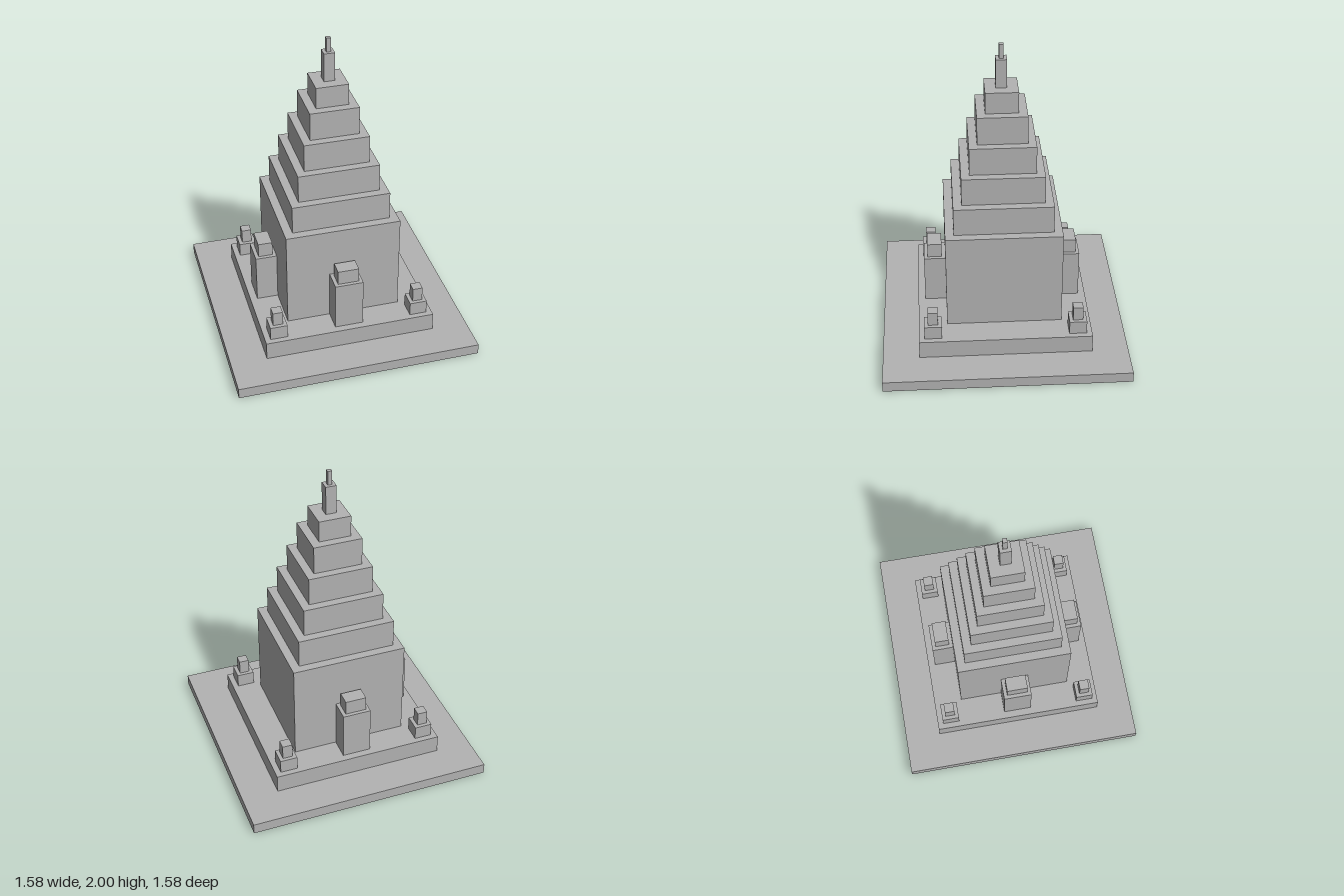
import * as THREE from 'three';

export function createModel() {
  const model = new THREE.Group();
  model.name = 'steppedTower';
  const stone = new THREE.MeshStandardMaterial({ color: 0xb3b3b3 });
  stone.name = 'grey stone';

  // Box standing between heights y0 and y1
  function block(parent, name, width, depth, y0, y1, x = 0, z = 0) {
    const mesh = new THREE.Mesh(new THREE.BoxGeometry(width, y1 - y0, depth), stone);
    mesh.name = name;
    mesh.position.set(x, (y0 + y1) / 2, z);
    parent.add(mesh);
  }

  // Square levels from the ground to the spire: name, half width, top height
  const levels = [
    ['base', 0.791, 0.07], ['plinth', 0.557, 0.19], ['towerBody', 0.372, 0.84],
    ['tier1', 0.317, 1.026], ['tier2', 0.263, 1.211], ['tier3', 0.21, 1.395],
    ['tier4', 0.158, 1.58], ['tier5', 0.104, 1.72], ['spire', 0.035, 1.908],
    ['spireTip', 0.014, 2],
  ];
  let bottom = 0;
  for (const [name, half, top] of levels) {
    block(model, name, half * 2, half * 2, bottom, top);
    bottom = top;
  }

  // Porches on the front, right and back walls
  const porches = [['frontPorch', 0], ['rightPorch', -Math.PI / 2], ['backPorch', Math.PI]];
  for (const [name, turn] of porches) {
    const porch = new THREE.Group();
    porch.name = name;
    block(porch, 'porchBody', 0.184, 0.14, 0.19, 0.513, 0, 0.441);
    block(porch, 'porchCap', 0.137, 0.093, 0.513, 0.608, 0, 0.441);
    porch.rotation.y = turn;
    model.add(porch);
  }

  // Small turrets on the plinth corners
  for (const sx of [-1, 1]) {
    for (const sz of [-1, 1]) {
      const turret = new THREE.Group();
      turret.name = 'cornerTurret';
      block(turret, 'turretBase', 0.112, 0.112, 0.19, 0.28);
      block(turret, 'turretCap', 0.064, 0.064, 0.28, 0.374);
      turret.position.set(sx * 0.465, 0, sz * 0.465);
      model.add(turret);
    }
  }
  return model;
}
